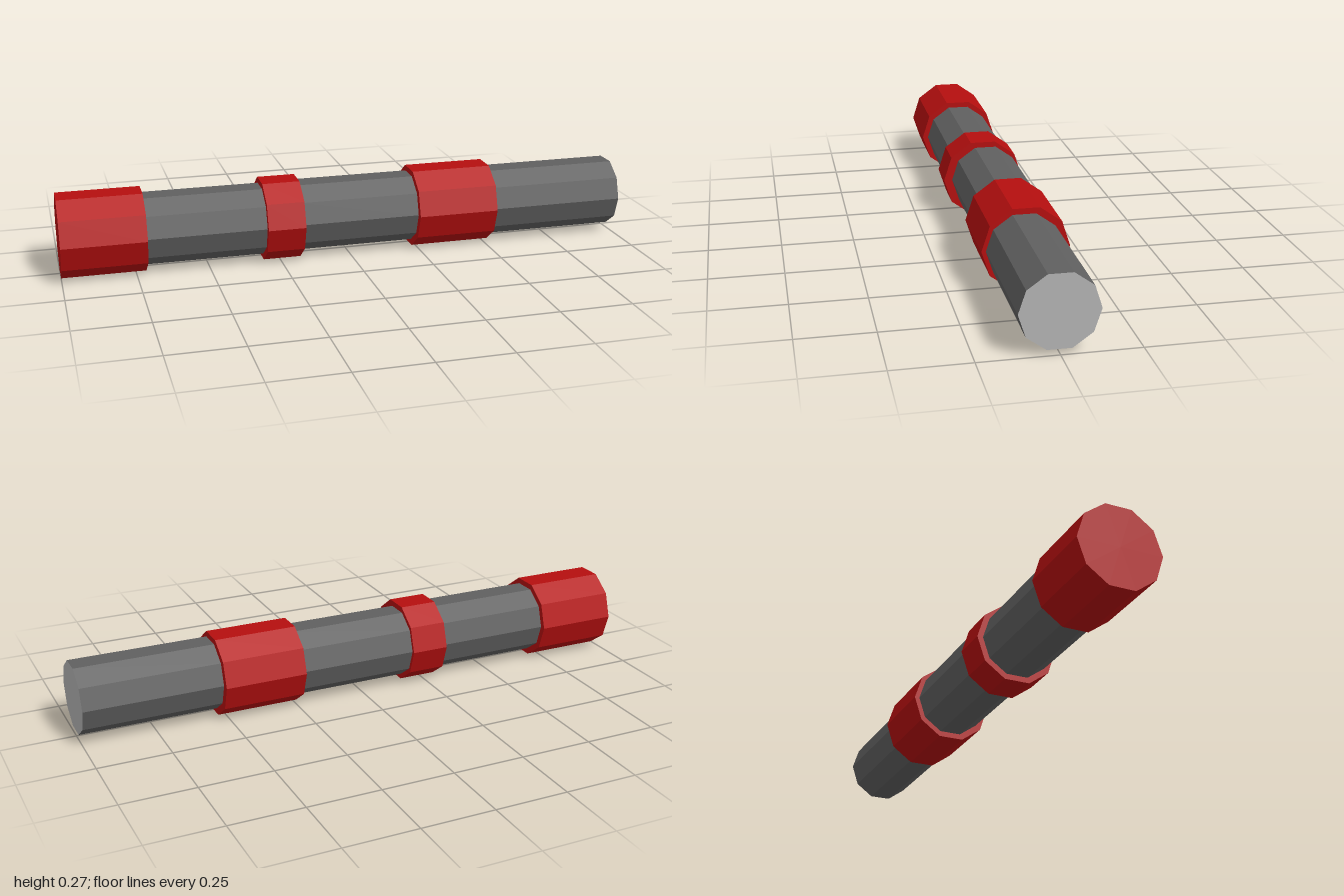
import * as THREE from 'three';

const SIDES = 10;
const CENTER_Y = 0.138;
const HANDLE_R = 0.124;
const BAND_R = 0.1445;

const red = new THREE.MeshStandardMaterial({ color: 0xb50f0f, flatShading: true });
const darkGrey = new THREE.MeshStandardMaterial({ color: 0x606060, flatShading: true });
const lightGrey = new THREE.MeshStandardMaterial({ color: 0xb4b4b4, flatShading: true });

// Ten-sided segment lying along x, with a corner pointing to +z and a flat on top
function segment(name, x0, x1, z, radius, material, open = false) {
  const geometry = new THREE.CylinderGeometry(radius, radius, x1 - x0, SIDES, 1, open);
  geometry.rotateZ(-Math.PI / 2);
  const mesh = new THREE.Mesh(geometry, material);
  mesh.name = name;
  mesh.position.set((x0 + x1) / 2, CENTER_Y, z);
  return mesh;
}

export function createModel() {
  const group = new THREE.Group();
  group.name = 'bandedRod';

  // Wide red bands: end cap, thin middle ring, broad grip
  group.add(
    segment('endCap', -1, -0.714, 0.003, BAND_R, red),
    segment('middleRing', -0.306, -0.175, 0.003, BAND_R, red),
    segment('gripBand', 0.237, 0.524, -0.003, BAND_R, red),
  );

  // Narrower grey shaft between the bands
  group.add(
    segment('rearShaft', -0.714, -0.306, 0.003, HANDLE_R, darkGrey),
    segment('middleShaft', -0.175, 0.237, -0.006, HANDLE_R, darkGrey),
    segment('frontShaft', 0.524, 1, 0.003, HANDLE_R, darkGrey, true),
  );

  // Pale disc closing the open end, facing +x
  const disc = new THREE.Mesh(new THREE.CircleGeometry(HANDLE_R, SIDES), lightGrey);
  disc.name = 'endFace';
  disc.rotation.y = Math.PI / 2;
  disc.position.set(1, CENTER_Y, 0.003);
  group.add(disc);

  return group;
}
